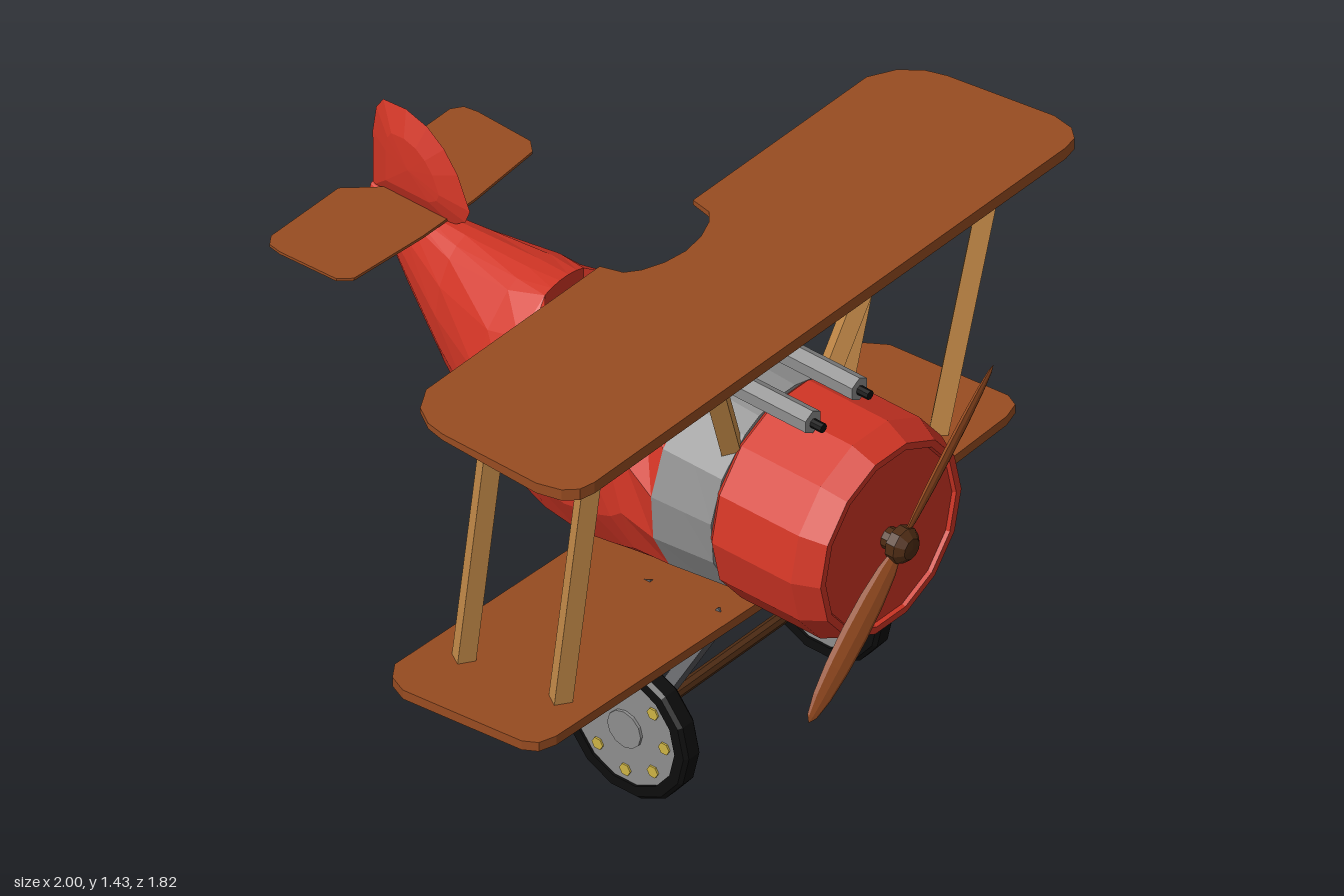
import * as THREE from 'three';

const paint = (name, color) => Object.assign(new THREE.MeshStandardMaterial({ color }), { name });
const V = (x, y, z) => new THREE.Vector3(x, y, z);

// Faceted normals for the low-poly look
function flat(geo) {
  const g = geo.index ? geo.toNonIndexed() : geo;
  g.computeVertexNormals();
  return g;
}

// Skin over rings listed front to back, each counter-clockwise seen from the front
function loft(rings) {
  const n = rings[0].length, pos = rings.flat(2), idx = [], last = (rings.length - 1) * n;
  for (let i = 0; i < rings.length - 1; i++)
    for (let j = 0; j < n; j++) {
      const a = i * n + j, b = i * n + (j + 1) % n;
      idx.push(a, a + n, b, b, a + n, b + n);
    }
  for (let j = 1; j < n - 1; j++) idx.push(0, j, j + 1, last, last + j + 1, last + j);
  const g = new THREE.BufferGeometry();
  g.setAttribute('position', new THREE.Float32BufferAttribute(pos, 3));
  g.setIndex(idx);
  return flat(g);
}

// Horizontal plate from an [x, z] outline; rule gives y from x, z and height 0..1
function plate(outline, rule) {
  const shape = new THREE.Shape(outline.map(([x, z]) => new THREE.Vector2(x, -z)));
  const g = new THREE.ExtrudeGeometry(shape, { depth: 1, bevelEnabled: false }).rotateX(-Math.PI / 2);
  const p = g.attributes.position;
  for (let i = 0; i < p.count; i++) p.setY(i, rule(p.getX(i), p.getZ(i), p.getY(i)));
  return flat(g);
}
const mirrored = half => [...half, ...half.slice().reverse().filter(p => p[0] > 0).map(([x, z]) => [-x, z])];

// Fuselage stations: z, top, bottom, half width
const STATIONS = [
  [0.49, 1.13, 0.54, 0.293], [0.3, 1.14, 0.515, 0.302], [0, 1.13, 0.465, 0.296], [-0.14, 1.13, 0.475, 0.28],
  [-0.34, 1.125, 0.55, 0.228], [-0.55, 1.12, 0.7, 0.135], [-0.71, 1.12, 0.87, 0.07], [-0.87, 1.12, 1.08, 0.012],
];
function station(z) {
  let i = 0;
  while (i < STATIONS.length - 2 && z < STATIONS[i + 1][0]) i++;
  const a = STATIONS[i], b = STATIONS[i + 1], t = (z - a[0]) / (b[0] - a[0]);
  return a.map((v, k) => v + (b[k] - v) * t);
}
function hullRing(z, rim = 0.16, open = false) {
  const [, top, bottom, w] = station(z), cy = (top + bottom) / 2, h = (top - bottom) / 2;
  const r = Math.min(rim, w * 0.6), a = Math.acos(r / w);
  const onHull = x => [x, cy + h * Math.sqrt(1 - (x / w) ** 2), z];
  const inner = open ? [1, 0.33, -0.33, -1].map(k => [r * k, 0.91, z])
    : [0.65, 0.22, -0.22, -0.65].map(k => onHull(r * k));
  const ring = [onHull(r), ...inner, onHull(-r)];
  for (let i = 1; i < 12; i++) {
    const t = Math.PI - a + (Math.PI + 2 * a) * i / 12;
    ring.push([w * Math.cos(t), cy + h * Math.sin(t), z]);
  }
  return ring;
}

export function createModel() {
  const model = new THREE.Group();
  const red = paint('red paint', 0xd13525), brown = paint('brown wood', 0x984c21);
  const tan = paint('light wood', 0xc88d4a), darkWood = paint('dark wood', 0x4d2b13);
  const grey = paint('grey metal', 0x8e8e8e), steel = paint('dark steel', 0x55565a);
  const black = paint('black rubber', 0x0d0d0d), yellow = paint('yellow brass', 0xcdb344);

  const add = (name, geo, mat, parent = model) => {
    const m = new THREE.Mesh(geo, mat);
    m.name = name;
    parent.add(m);
    return m;
  };
  const bar = (name, from, to, w, d, mat) => {
    const dir = to.clone().sub(from);
    const m = add(name, new THREE.BoxGeometry(w, dir.length(), d), mat);
    m.position.copy(from).add(to).multiplyScalar(0.5);
    m.quaternion.setFromUnitVectors(V(0, 1, 0), dir.normalize());
    return m;
  };

  // Fuselage with open cockpit
  const cockpit = [[0.2, 0.08], [0.16, 0.13], [0.1, 0.16], [0, 0.17], [-0.12, 0.15], [-0.2, 0.12], [-0.24, 0.075]];
  add('fuselage', loft([
    hullRing(0.3), hullRing(0.2, 0.08),
    ...cockpit.map(([z, w]) => hullRing(z, w, true)),
    hullRing(-0.24, 0.075), ...[-0.34, -0.55, -0.71, -0.87].map(z => hullRing(z, 0.1)),
  ]), red);
  add('greyBand', loft([hullRing(0.49), hullRing(0.4), hullRing(0.3)]), grey);

  // Engine cowl with recessed front face
  const cowlProfile = [[0, 0.485], [0.285, 0.485], [0.305, 0.505], [0.305, 0.765], [0.272, 0.835],
    [0.252, 0.835], [0.247, 0.825], [0, 0.825]].map(([r, z]) => new THREE.Vector2(r, z));
  const cowl = add('engineCowl', flat(new THREE.LatheGeometry(cowlProfile, 14, Math.PI / 14).rotateX(Math.PI / 2)), red);
  cowl.position.y = 0.835;

  // Propeller
  const propeller = new THREE.Group();
  propeller.name = 'propeller';
  propeller.position.set(0, 0.835, 0.868);
  propeller.rotation.z = -Math.PI / 4;
  model.add(propeller);
  const hubProfile = [[0, -0.045], [0.03, -0.045], [0.03, -0.02], [0.05, -0.012], [0.05, 0.015], [0.03, 0.036], [0, 0.038]];
  add('propellerHub', flat(new THREE.LatheGeometry(hubProfile.map(p => new THREE.Vector2(...p)), 10).rotateX(Math.PI / 2)), darkWood, propeller);
  for (const s of [1, -1]) {
    const blade = add('propellerBlade', flat(new THREE.SphereGeometry(1, 8, 8).scale(0.042, 0.25, 0.012)), brown, propeller);
    blade.position.y = s * 0.255;
    blade.rotation.y = s * 0.4;
  }

  // Upper wing with rear cutout
  const upper = [[0, 0.16], [0.07, 0.15], [0.13, 0.125], [0.165, 0.095], [0.18, 0.03], [0.85, 0.03], [0.92, 0.07], [0.96, 0.13],
    [0.975, 0.19], [1, 0.52], [0.985, 0.59], [0.955, 0.625], [0.91, 0.635], [0, 0.635]];
  add('upperWing', plate(mirrored(upper), (x, z, h) => {
    const t = (z - 0.03) / 0.605;
    return 1.385 + 0.02 * t + h * (0.014 + 0.021 * t);
  }), brown);

  // Lower wing, two raised halves
  const lower = [[0, -0.065], [0.86, -0.065], [0.91, -0.03], [0.94, 0.03], [0.94, 0.42], [0.92, 0.46], [0.87, 0.475], [0, 0.475]];
  for (const s of [1, -1])
    add(s > 0 ? 'lowerWingLeft' : 'lowerWingRight', plate(lower.map(([x, z]) => [x * s, z]),
      (x, z, h) => 0.432 + 0.038 * Math.abs(x) / 0.94 + 0.045 * (z + 0.065) / 0.54 + h * 0.028), brown);

  // Tailplane
  const tail = [[0, -0.82], [0.02, -0.84], [0.085, -0.91], [0.345, -0.91], [0.375, -0.89], [0.382, -0.85],
    [0.375, -0.67], [0.345, -0.638], [0.1, -0.62], [0, -0.62]];
  add('tailplane', plate(mirrored(tail), (x, z, h) => 1.12 + h * 0.008), brown);

  // Fin, thickest in the middle and sharp at its edge
  const finEdge = [[1.18, -0.55], [1.275, -0.59], [1.335, -0.635], [1.378, -0.69], [1.4, -0.76], [1.395, -0.835],
    [1.36, -0.858], [1.28, -0.87], [1.11, -0.868], [1.11, -0.61], [1.14, -0.565]];
  const finPos = [];
  finEdge.forEach(([y, z], i) => {
    const [y2, z2] = finEdge[(i + 1) % finEdge.length];
    const mid = (a, b) => [0.55 * a + 0.45 * 1.24, 0.55 * b - 0.45 * 0.73];
    const a = mid(y, z), b = mid(y2, z2);
    for (const s of [1, -1]) {
      const tri = (...pts) => finPos.push(...(s > 0 ? pts : pts.reverse()).flat());
      const A = [0, y, z], B = [0, y2, z2], C = [s * 0.025, ...a], D = [s * 0.025, ...b];
      tri(A, C, B);
      tri(B, C, D);
      tri(C, [s * 0.03, 1.24, -0.73], D);
    }
  });
  // Corner order follows the clockwise edge list
  const finGeo = new THREE.BufferGeometry();
  finGeo.setAttribute('position', new THREE.Float32BufferAttribute(finPos, 3));
  finGeo.computeVertexNormals();
  const finMat = red;
  finMat.side = THREE.DoubleSide;
  add('fin', finGeo, finMat);

  for (const s of [1, -1]) {
    // Wing struts
    bar('outerFrontStrut', V(s * 0.775, 1.405, 0.515), V(s * 0.73, 0.52, 0.37), 0.048, 0.05, tan);
    bar('outerRearStrut', V(s * 0.775, 1.392, 0.197), V(s * 0.73, 0.48, 0.05), 0.048, 0.05, tan);
    bar('innerFrontStrut', V(s * 0.325, 1.405, 0.515), V(s * 0.18, 1.04, 0.465), 0.045, 0.05, tan);
    bar('innerRearStrut', V(s * 0.325, 1.392, 0.197), V(s * 0.18, 1.03, 0.165), 0.045, 0.05, tan);

    // Guns
    const gun = add('gunBody', flat(new THREE.CylinderGeometry(0.034, 0.034, 0.34, 6).rotateX(Math.PI / 2)), grey);
    gun.position.set(s * 0.09, 1.165, 0.485);
    const muzzle = add('gunMuzzle', flat(new THREE.CylinderGeometry(0.013, 0.013, 0.05, 8).rotateX(Math.PI / 2)), black);
    muzzle.position.set(s * 0.09, 1.162, 0.665);

    // Landing gear legs
    bar('frontGearLeg', V(s * 0.325, 0.21, 0.31), V(s * 0.165, 0.5, 0.43), 0.035, 0.035, steel);
    bar('rearGearLeg', V(s * 0.325, 0.21, 0.29), V(s * 0.165, 0.48, 0.18), 0.035, 0.035, steel);

    // Wheel: tyre, disc, hub cap and bolts
    const wheel = new THREE.Group();
    wheel.name = s > 0 ? 'leftWheel' : 'rightWheel';
    wheel.position.set(s * 0.375, 0.207, 0.302);
    model.add(wheel);
    const disc = (name, r, w, sides, mat) =>
      add(name, flat(new THREE.CylinderGeometry(r, r, w, sides).rotateZ(Math.PI / 2)), mat, wheel);
    const tyre = [[0.165, -0.03], [0.195, -0.03], [0.205, -0.02], [0.205, 0.02], [0.195, 0.03], [0.165, 0.03], [0.165, -0.03]];
    add('tyre', flat(new THREE.LatheGeometry(tyre.map(p => new THREE.Vector2(...p)), 14).rotateZ(Math.PI / 2)), black, wheel);
    disc('wheelDisc', 0.167, 0.046, 14, grey);
    disc('hubCap', 0.055, 0.062, 12, grey);
    for (let i = 0; i < 8; i++) {
      const bolt = disc('bolt', 0.018, 0.056, 6, yellow), t = i * Math.PI / 4;
      bolt.position.set(0, 0.128 * Math.cos(t), 0.128 * Math.sin(t));
    }
  }
  const axle = add('axle', flat(new THREE.CylinderGeometry(0.018, 0.018, 0.7, 8).rotateZ(Math.PI / 2)), darkWood);
  axle.position.set(0, 0.207, 0.302);
  return model;
}
